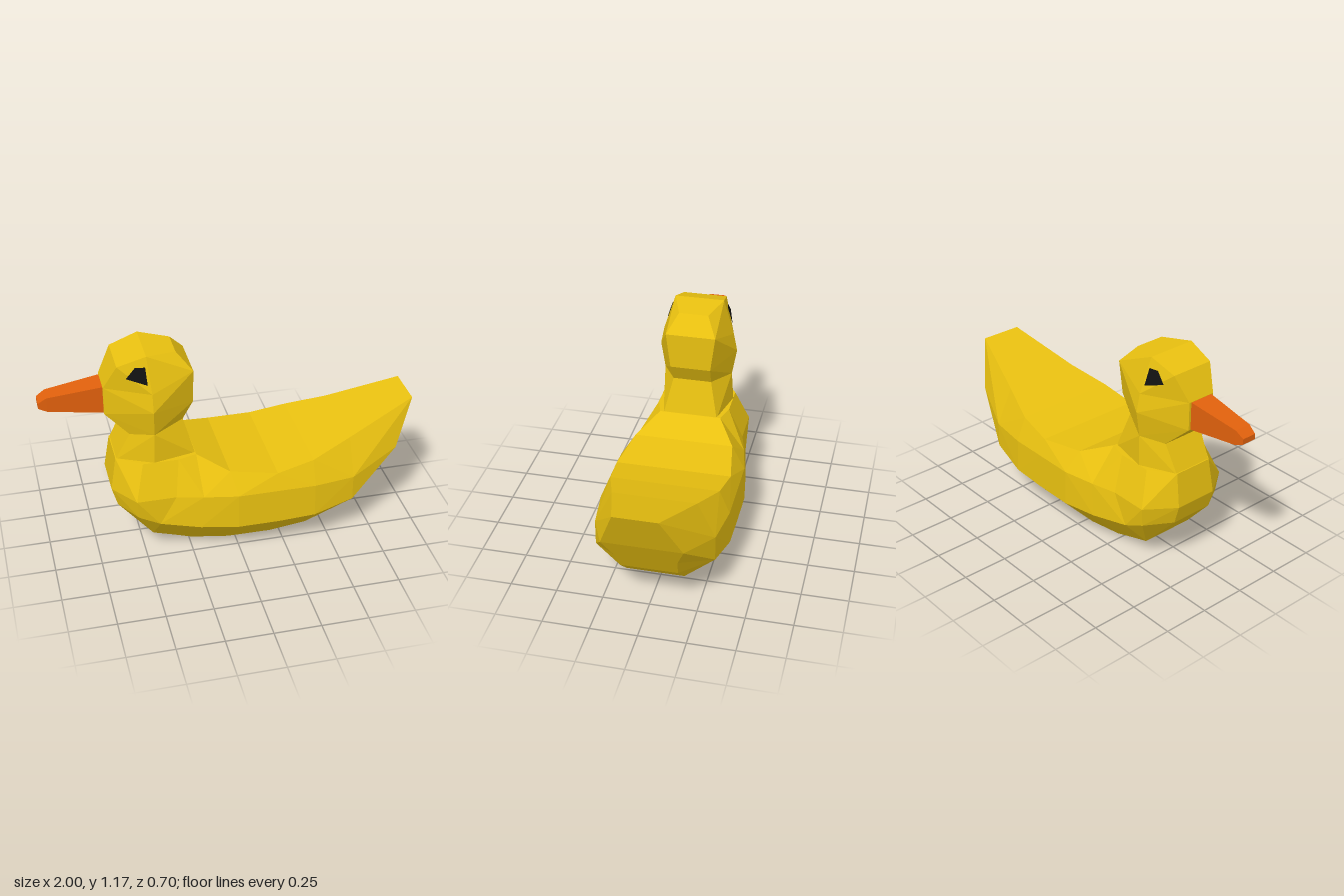
import * as THREE from 'three';

const material = (color) => new THREE.MeshStandardMaterial({ color, flatShading: true, side: THREE.DoubleSide });

// Skin a row of rings. Each ring lists its +z half as [x, y, z]; the -z half is mirrored.
function loft(name, halves, mat) {
  const pos = [];
  const tri = (...pts) => pts.forEach((p) => pos.push(p.x, p.y, p.z));
  const quad = (a, b, c, d) => {
    // split along the outward-bulging diagonal
    const n = b.clone().sub(a).cross(c.clone().sub(a));
    if (n.dot(d.clone().sub(a)) <= 0) { tri(a, b, c); tri(a, c, d); }
    else { tri(a, b, d); tri(b, c, d); }
  };
  const rings = halves.map((half) => [
    ...half.map(([x, y, z]) => new THREE.Vector3(x, y, z)),
    ...half.map(([x, y, z]) => new THREE.Vector3(x, y, -z)).reverse(),
  ]);
  const n = rings[0].length;
  for (let r = 0; r < rings.length - 1; r++) {
    const A = rings[r], B = rings[r + 1];
    for (let i = 0; i < n; i++) {
      const j = (i + 1) % n;
      quad(A[i], A[j], B[j], B[i]);
    }
  }
  // end caps in strips from side to side
  const S = rings[0], E = rings[rings.length - 1];
  for (let i = 0; i < n / 2 - 1; i++) {
    const m = n - 1 - i;
    quad(S[i], S[m], S[m - 1], S[i + 1]);
    quad(E[i], E[i + 1], E[m - 1], E[m]);
  }
  const geo = new THREE.BufferGeometry();
  geo.setAttribute('position', new THREE.Float32BufferAttribute(pos, 3));
  geo.computeVertexNormals();
  const mesh = new THREE.Mesh(geo, mat);
  mesh.name = name;
  return mesh;
}

export function createModel() {
  const group = new THREE.Group();
  group.name = 'duck';
  const yellow = material(0xe8c010);
  const orange = material(0xe0600c);
  const black = material(0x111111);

  // body, chest to tail: top edge, shoulder, widest line, keel edge
  group.add(loft('body', [
    [[-0.63, 0.57, 0.11], [-0.66, 0.385, 0.12], [-0.63, 0.28, 0.12], [-0.45, 0.08, 0.1]],
    [[-0.5, 0.57, 0.2], [-0.55, 0.385, 0.275], [-0.54, 0.275, 0.26], [-0.45, 0.08, 0.15]],
    [[-0.31, 0.57, 0.2], [-0.34, 0.385, 0.275], [-0.43, 0.23, 0.28], [-0.35, 0.053, 0.155]],
    [[-0.21, 0.57, 0.17], [-0.2, 0.385, 0.31], [-0.22, 0.2, 0.32], [-0.24, 0.025, 0.165]],
    [[-0.05, 0.5, 0.27], [-0.02, 0.385, 0.345], [-0.02, 0.19, 0.35], [-0.04, 0.002, 0.175]],
    [[0.2, 0.475, 0.31], [0.2, 0.385, 0.345], [0.2, 0.19, 0.35], [0.2, 0, 0.175]],
    [[0.4, 0.515, 0.29], [0.4, 0.385, 0.345], [0.4, 0.2, 0.35], [0.4, 0.025, 0.175]],
    [[0.62, 0.58, 0.22], [0.62, 0.385, 0.315], [0.62, 0.245, 0.315], [0.62, 0.11, 0.155]],
    [[1, 0.715, 0.115], [0.89, 0.47, 0.21], [0.82, 0.35, 0.165], [0.75, 0.23, 0.15]],
  ], yellow));

  // neck and head, bottom to crown: front, side, back
  group.add(loft('neckAndHead', [
    [[-0.63, 0.56, 0.11], [-0.44, 0.56, 0.2], [-0.21, 0.56, 0.15]],
    [[-0.55, 0.715, 0.12], [-0.43, 0.735, 0.19], [-0.265, 0.76, 0.105]],
    [[-0.67, 0.83, 0.08], [-0.435, 0.88, 0.215], [-0.21, 0.86, 0.11]],
    [[-0.67, 0.985, 0.08], [-0.435, 0.98, 0.195], [-0.21, 1.055, 0.135]],
    [[-0.6, 1.12, 0.12], [-0.45, 1.17, 0.135], [-0.29, 1.15, 0.08]],
  ], yellow));

  // beak, tip to base
  group.add(loft('beak', [
    [[-1, 0.915, 0.04], [-1, 0.885, 0.04]],
    [[-0.955, 0.945, 0.046], [-0.955, 0.865, 0.046]],
    [[-0.66, 0.985, 0.068], [-0.66, 0.83, 0.068]],
  ], orange));

  // eyes, four-sided patches lying on the slanted temples
  for (const side of [1, -1]) {
    const shape = new THREE.Shape(
      [[-0.56, 1.065], [-0.455, 1.03], [-0.46, 1.12], [-0.51, 1.12]].map(([x, y]) => new THREE.Vector2(x, y)),
    );
    const geo = new THREE.ShapeGeometry(shape);
    const p = geo.attributes.position;
    for (let i = 0; i < p.count; i++) {
      p.setZ(i, side * (0.202 + 0.2 * (p.getX(i) + 0.435) - 0.3 * (p.getY(i) - 0.98)));
    }
    geo.computeVertexNormals();
    const eye = new THREE.Mesh(geo, black);
    eye.name = side > 0 ? 'eyeFront' : 'eyeBack';
    group.add(eye);
  }
  return group;
}
